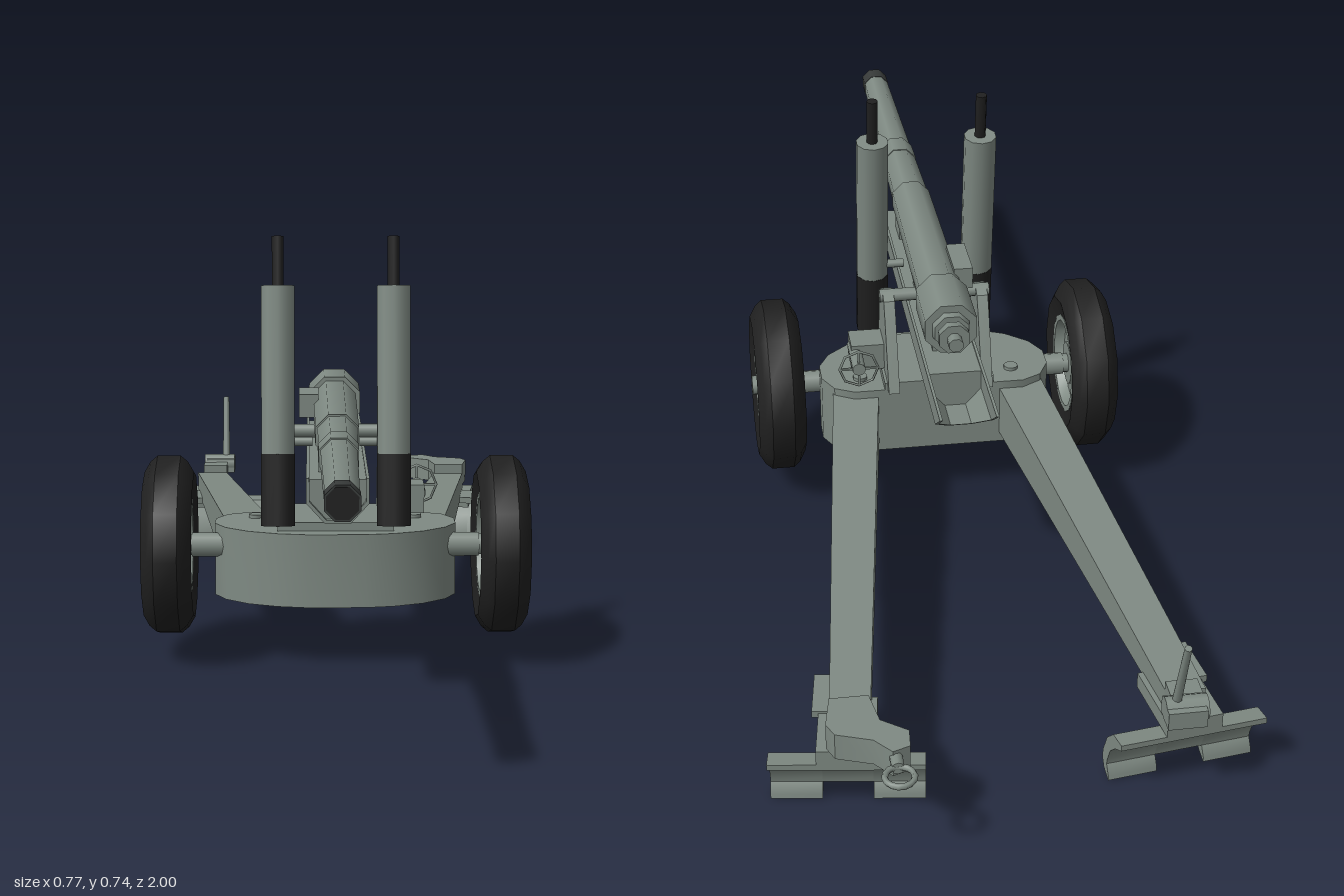
import * as THREE from 'three';
import { toCreasedNormals } from 'three/addons/utils/BufferGeometryUtils.js';

export function createModel() {
  const model = new THREE.Group();
  const paint = (name, color) => {
    const m = new THREE.MeshStandardMaterial({ color });
    m.name = name;
    return m;
  };
  const grey = paint('field grey paint', 0x7f8a83);
  const black = paint('black rubber', 0x202020);
  const steel = paint('dark steel', 0x383b3a);

  const add = (name, geo, mat = grey, parent = model) => {
    const mesh = new THREE.Mesh(geo, mat);
    mesh.name = name;
    parent.add(mesh);
    return mesh;
  };
  const box = (name, x, y, z, w, h, d, parent = model) => {
    const m = add(name, new THREE.BoxGeometry(w, h, d), grey, parent);
    m.position.set(x, y, z);
    return m;
  };
  // Cylinder between two points
  const rod = (name, a, b, r0, r1 = r0, mat = grey, sides = 10, parent = model) => {
    const p = new THREE.Vector3(...a), q = new THREE.Vector3(...b);
    const m = add(name, new THREE.CylinderGeometry(r1, r0, p.distanceTo(q), sides), mat, parent);
    m.position.copy(p).add(q).multiplyScalar(0.5);
    m.quaternion.setFromUnitVectors(new THREE.Vector3(0, 1, 0), q.sub(p).normalize());
    return m;
  };
  const shapeOf = pts => new THREE.Shape(pts.map(p => new THREE.Vector2(...p)));
  const extrude = (pts, depth) => new THREE.ExtrudeGeometry(shapeOf(pts), { depth, bevelEnabled: false });
  // Outline in (z, y), extruded across x
  const sideways = (pts, width, x) => toCreasedNormals(
    extrude(pts, width).rotateY(-Math.PI / 2).translate(x + width / 2, 0, 0), 0.6);
  // Outline in (x, z), extruded upwards from y
  const upright = (pts, height, y) => toCreasedNormals(
    extrude(pts.map(([x, z]) => [x, -z]), height).rotateX(-Math.PI / 2).translate(0, y, 0), 0.6);
  const mirrored = half => [...half, ...half.map(([x, y]) => [-x, y]).reverse()];

  // Carriage base with a rounded front
  add('carriageBase', upright(mirrored([
    [0.05, 0.222], [0.1, 0.212], [0.15, 0.19], [0.19, 0.155], [0.21, 0.115],
    [0.21, 0.07], [0.19, 0.03], [0.155, 0.012], [0.11, 0.012]]), 0.127, 0.105));
  box('turntable', 0, 0.239, 0.1, 0.2, 0.016, 0.18);
  rod('axle', [-0.335, 0.196, 0.125], [0.335, 0.196, 0.125], 0.018);

  // Barrel: stepped tube, muzzle, breech
  const Y = 0.428;
  const tube = (name, z0, z1, r0, r1, mat = grey, sides = 8) =>
    rod(name, [0, Y, z0], [0, Y, z1], r0, r1, mat, sides).rotateY(Math.PI / 8);
  tube('muzzle', 0.96, 1, 0.027, 0.027, steel);
  tube('muzzleBore', 0.999, 1.0005, 0.024, 0.024, black);
  tube('barrelFront', 0.58, 0.96, 0.031, 0.026);
  tube('barrelCollar', 0.56, 0.62, 0.034, 0.033);
  tube('barrelMiddle', 0.36, 0.58, 0.036, 0.032);
  tube('barrelJacket', -0.02, 0.4, 0.041, 0.038);
  tube('breech', -0.13, -0.01, 0.049, 0.049);
  tube('breechScrew', -0.19, -0.12, 0.013, 0.013);
  tube('breechRing', -0.168, -0.152, 0.028, 0.028);
  tube('breechPlug', -0.142, -0.125, 0.032, 0.036);
  box('frontSaddle', 0, 0.395, 0.37, 0.06, 0.06, 0.06);
  box('rearSaddle', 0, 0.385, 0.03, 0.056, 0.05, 0.26);
  box('sightBox', -0.046, 0.44, 0.08, 0.034, 0.04, 0.1);

  // Cradle: open trough with a slanted rear end
  const trough = extrude([
    [0.05, 0.373], [0.05, 0.333], [0.02, 0.3], [-0.02, 0.3], [-0.05, 0.333], [-0.05, 0.373],
    [-0.045, 0.373], [-0.045, 0.336], [-0.018, 0.306], [0.018, 0.306], [0.045, 0.336], [0.045, 0.373]], 0.82);
  trough.translate(0, 0, -0.34);
  const tp = trough.attributes.position;
  for (let i = 0; i < tp.count; i++) {
    if (tp.getZ(i) < 0) tp.setZ(i, -0.34 + (0.373 - tp.getY(i)) * 1.4);
  }
  trough.computeVertexNormals();
  add('cradleTrough', trough);
  add('recoilHousing', extrude(mirrored([[0.045, 0.37], [0.045, 0.336], [0.018, 0.306]]).reverse(), 0.65)
    .translate(0, 0, -0.18));
  for (const [y, r] of [[0.352, 0.017], [0.32, 0.014]]) {
    rod('recoilCylinderCap', [0, y, 0.46], [0, y, 0.485], r, r, grey, 6);
  }
  rod('trunnion', [-0.1, 0.39, 0.08], [0.1, 0.39, 0.08], 0.012);
  rod('elevatingScrew', [0, 0.24, 0.17], [0, 0.31, 0.17], 0.011, 0.011, steel);

  // Handwheel with gearbox
  box('gearBox', 0.12, 0.275, 0.09, 0.07, 0.05, 0.06);
  rod('handwheelShaft', [0.147, 0.282, 0.005], [0.147, 0.282, 0.1], 0.012);
  const handwheel = new THREE.Group();
  handwheel.name = 'handwheel';
  handwheel.position.set(0.147, 0.282, 0.01);
  model.add(handwheel);
  add('handwheelRim', new THREE.TorusGeometry(0.035, 0.0025, 5, 8), grey, handwheel);
  for (let i = 0; i < 2; i++) {
    box('handwheelSpoke', 0, 0, 0, 0.07, 0.004, 0.004, handwheel).rotation.z = i * Math.PI / 2;
  }

  // Wheel profiles as (radius, offset along axle)
  const turned = (pts, sides) => toCreasedNormals(
    new THREE.LatheGeometry(pts.map(p => new THREE.Vector2(...p)), sides).rotateZ(-Math.PI / 2), 0.6);
  const tyreProfile = [[0.09, -0.034], [0.128, -0.043], [0.147, -0.032], [0.157, -0.02],
    [0.157, 0.02], [0.147, 0.032], [0.128, 0.043], [0.09, 0.034], [0.09, -0.034]];
  const rimProfile = [[0, -0.018], [0.075, -0.018], [0.082, -0.036], [0.093, -0.036],
    [0.093, 0.036], [0.082, 0.036], [0.075, 0.018], [0, 0.018]];

  for (const s of [-1, 1]) {
    // Wheels
    const wheel = new THREE.Group();
    wheel.name = s > 0 ? 'leftWheel' : 'rightWheel';
    wheel.position.set(s * 0.288, 0.196, 0.125);
    model.add(wheel);
    add('tyre', turned(tyreProfile, 12), black, wheel);
    add('rim', turned(rimProfile, 16), grey, wheel);
    rod('hub', [-0.028, 0, 0], [0.028, 0, 0], 0.04, 0.04, grey, 12, wheel);
    rod('axleHousing', [s * 0.18, 0.196, 0.125], [s * 0.25, 0.196, 0.125], 0.021, 0.021, grey, 8);

    // Trunnion cheek, pivot bolt
    add('cheek', sideways([[-0.01, 0.235], [0.16, 0.235], [0.125, 0.36], [0.11, 0.39], [0.08, 0.403],
      [0.055, 0.39], [0.04, 0.36]], 0.02, s * 0.085));
    rod('pivotBolt', [s * 0.14, 0.23, 0.06], [s * 0.14, 0.238, 0.06], 0.013);

    // Equilibrator leaning back
    const at = y => [s * 0.098, y, 0.228 - (y - 0.245) * 0.128];
    rod('equilibratorSleeve', at(0.249), at(0.37), 0.03, 0.03, black);
    rod('equilibratorTube', at(0.37), at(0.652), 0.0295);
    rod('equilibratorRod', at(0.652), at(0.735), 0.01, 0.01, black, 8);
    rod('equilibratorPin', [s * 0.04, 0.39, 0.205], [s * 0.09, 0.39, 0.205], 0.008);

    // Tapered trail leg
    const leg = new THREE.BoxGeometry(1, 1, 1);
    const lp = leg.attributes.position;
    for (let i = 0; i < lp.count; i++) {
      const t = 0.5 - lp.getZ(i);
      const x = s * (0.15 + 0.107 * t) + lp.getX(i) * (0.084 - 0.022 * t);
      lp.setXYZ(i, x, lp.getY(i) > 0 ? 0.219 - 0.056 * t : 0.124, 0.04 - 0.87 * t);
    }
    leg.computeVertexNormals();
    add(s > 0 ? 'leftTrail' : 'rightTrail', leg);

    // Curved spade with a notch in its lower edge
    const spade = new THREE.Group();
    spade.name = 'spade';
    spade.position.set(s * 0.262, 0, -0.825);
    spade.rotation.y = -0.14 * s;
    model.add(spade);
    const blade = [[-0.035, 0.105], [0, 0.1], [0.025, 0.075], [0.04, 0.04]];
    const back = [[0.02, 0.035], [0.01, 0.06], [-0.01, 0.08], [-0.035, 0.095]];
    const lower = [[0.041, 0.025], [0.033, 0.01], [0.012, 0], [0.012, 0.008], [0.022, 0.025]];
    const full = [...blade, ...lower, ...back].reverse();
    for (const e of [-1, 1]) add('spadeBlade', sideways(full, 0.08, e * 0.079), grey, spade);
    add('spadeMiddle', sideways([...blade, [0.041, 0.025], [0.022, 0.025], ...back].reverse(), 0.078, 0), grey, spade);
    box('spadeBracket', 0, 0.117, 0.03, 0.09, 0.026, 0.13, spade);
    box('bracketPlate', s * 0.04, 0.128, 0.1, 0.03, 0.012, 0.09, spade);
  }

  // Tow arm and ring on the left trail
  add('towArm', upright([[0.225, -0.8], [0.285, -0.8], [0.296, -0.86], [0.285, -0.885], [0.23, -0.905],
    [0.205, -0.935], [0.178, -0.925], [0.175, -0.89], [0.215, -0.86]].reverse(), 0.045, 0.14));
  rod('towShank', [0.2, 0.17, -0.91], [0.2, 0.17, -0.955], 0.01);
  const ring = add('towRing', new THREE.TorusGeometry(0.022, 0.005, 6, 14));
  ring.rotation.x = Math.PI / 2;
  ring.position.set(0.2, 0.17, -0.973);

  // Handspike lever and socket on the right trail
  box('leverBlock', -0.25, 0.157, -0.855, 0.05, 0.045, 0.06);
  box('leverSocket', -0.24, 0.172, -0.89, 0.06, 0.03, 0.045);
  rod('leverPivot', [-0.275, 0.175, -0.885], [-0.21, 0.175, -0.885], 0.02);
  rod('handspike', [-0.228, 0.175, -0.88], [-0.229, 0.316, -0.925], 0.008, 0.006, grey, 8);
  return model;
}
